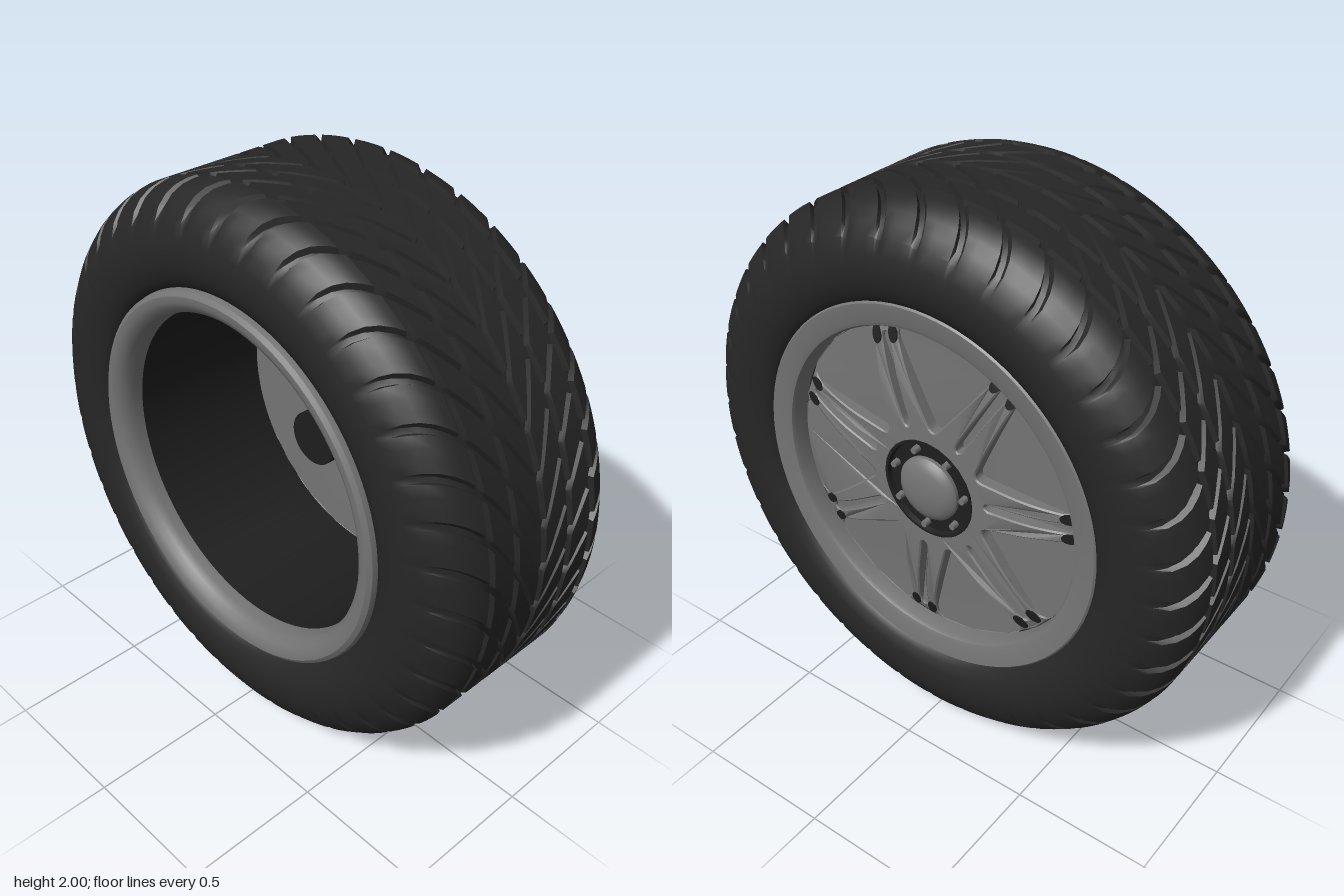
import * as THREE from 'three';
import { toCreasedNormals } from 'three/addons/utils/BufferGeometryUtils.js';

const material = (name, color) => {
  const m = new THREE.MeshStandardMaterial({ color, side: THREE.DoubleSide });
  m.name = name;
  return m;
};

const SPOKES = 7;
const STEP = (Math.PI * 2) / SPOKES;
const FIRST = 0.115;

// Tyre: rings of stations across the tread, columns sheared along the slanted grooves
function tyreGeometry() {
  const GROOVE = 0.02;
  // [x, radius, circumferential groove depth, slanted groove depth]
  const half = [[0, 1, GROOVE, GROOVE], [0.009, 1, GROOVE, GROOVE], [0.013, 1, 0, GROOVE]];
  for (const [x, mid] of [[0.125, [0.04, 0.08]], [0.235, [0.16, 0.2]]]) {
    for (const m of mid) half.push([m, 1, 0, GROOVE]);
    for (const [dx, d] of [[-0.013, 0], [-0.009, GROOVE], [0.009, GROOVE], [0.013, 0]])
      half.push([x + dx, 1, d, GROOVE]);
  }
  half.push([0.27, 0.995, 0, GROOVE], [0.3, 0.983, 0, GROOVE], [0.33, 0.962, 0, GROOVE],
    [0.36, 0.93, 0, 0.016], [0.385, 0.89, 0, 0.006], [0.403, 0.84, 0, 0], [0.41, 0.79, 0, 0],
    [0.405, 0.74, 0, 0], [0.39, 0.7, 0, 0], [0.372, 0.675, 0, 0], [0.34, 0.66, 0, 0]);
  const stations = [...half.slice(1).reverse().map(([x, ...rest]) => [-x, ...rest]), ...half];

  const PITCHES = 40;
  const columns = [[0, 0], [0.05, 1], [0.18, 1], [0.23, 0], [0.48, 0], [0.74, 0]];
  const position = [];
  const index = [];
  const n = stations.length;
  const total = PITCHES * columns.length;
  for (let p = 0; p < PITCHES; p++) {
    for (const [offset, cut] of columns) {
      for (const [x, radius, ringCut, slantCut] of stations) {
        const sweep = 0.5 * Math.max(0, 1 - Math.abs(x) / 0.38) ** 1.6;
        const t = ((p + offset) / PITCHES) * Math.PI * 2 - sweep;
        const r = radius - Math.max(ringCut, cut * slantCut);
        position.push(x, r * Math.sin(t), r * Math.cos(t));
      }
    }
  }
  for (let i = 0; i < total; i++) {
    for (let j = 0; j < n - 1; j++) {
      const a = i * n + j;
      const c = ((i + 1) % total) * n + j;
      index.push(a, a + 1, c, a + 1, c + 1, c);
    }
  }
  const g = new THREE.BufferGeometry();
  g.setAttribute('position', new THREE.Float32BufferAttribute(position, 3));
  g.setIndex(index);
  return toCreasedNormals(g, 0.6);
}

// Turned part about the wheel axis, from [radius, x] points
function turned(points, segments = 96) {
  const g = new THREE.LatheGeometry(points.map(([r, x]) => new THREE.Vector2(r, x)), segments);
  g.rotateZ(-Math.PI / 2);
  return toCreasedNormals(g, 0.6);
}

// Front surface of the spokes: flat at the hub, curving inwards at the rim
const faceX = (r) => 0.345 - 0.045 * Math.max(0, (r - 0.33) / 0.26) ** 2;

// Extrude a shape drawn in the wheel plane and bend it to the spoke surface
function spokePlate(shape, depth, lift, bevel = 0) {
  const g = new THREE.ExtrudeGeometry(shape, {
    depth, curveSegments: 12, bevelEnabled: bevel > 0, bevelThickness: bevel,
    bevelSize: bevel, bevelOffset: -bevel, bevelSegments: 1,
  });
  const pos = g.attributes.position;
  for (let i = 0; i < pos.count; i++) {
    const r = Math.hypot(pos.getX(i), pos.getY(i));
    pos.setZ(i, pos.getZ(i) - depth - bevel + lift + faceX(r));
  }
  g.rotateY(Math.PI / 2);
  return toCreasedNormals(g, 0.5);
}

// Point at distance along and sideways from a spoke axis
const onSpoke = (angle, along, side) => [
  along * Math.cos(angle) - side * Math.sin(angle),
  along * Math.sin(angle) + side * Math.cos(angle),
];

function spokeShape() {
  const shape = new THREE.Shape();
  shape.absarc(0, 0, 0.59, 0, Math.PI * 2);
  const hubHole = new THREE.Path();
  hubHole.absarc(0, 0, 0.18, 0, Math.PI * 2);
  shape.holes.push(hubHole);
  for (let i = 0; i < SPOKES; i++) {
    const a = FIRST + i * STEP;
    const b = a + STEP;
    // Large window between two spoke pairs
    const win = new THREE.Path();
    const corner = 0.165;
    win.moveTo(...onSpoke(a, 0.24, 0.088));
    win.quadraticCurveTo(...onSpoke(a, 0.38, 0.067), ...onSpoke(a, 0.515, 0.053));
    win.quadraticCurveTo(...onSpoke(a, 0.572, 0.05),
      0.58 * Math.cos(a + corner), 0.58 * Math.sin(a + corner));
    win.absarc(0, 0, 0.58, a + corner, b - corner, false);
    win.quadraticCurveTo(...onSpoke(b, 0.572, -0.05), ...onSpoke(b, 0.515, -0.053));
    win.quadraticCurveTo(...onSpoke(b, 0.38, -0.067), ...onSpoke(b, 0.24, -0.088));
    win.quadraticCurveTo(...onSpoke(a + STEP / 2, 0.215, 0), ...onSpoke(a, 0.24, 0.088));
    shape.holes.push(win);
    // Narrow slot within a pair
    const slot = new THREE.Path();
    slot.moveTo(...onSpoke(a, 0.245, -0.013));
    slot.quadraticCurveTo(...onSpoke(a, 0.39, -0.015), ...onSpoke(a, 0.535, -0.017));
    slot.quadraticCurveTo(...onSpoke(a, 0.565, 0), ...onSpoke(a, 0.535, 0.017));
    slot.quadraticCurveTo(...onSpoke(a, 0.39, 0.015), ...onSpoke(a, 0.245, 0.013));
    slot.quadraticCurveTo(...onSpoke(a, 0.218, 0), ...onSpoke(a, 0.245, -0.013));
    shape.holes.push(slot);
  }
  return shape;
}

export function createModel() {
  const rubber = material('black rubber', 0x262626);
  const alloy = material('grey alloy', 0x747474);
  const dark = material('dark metal', 0x1e1e1e);

  const wheel = new THREE.Group();
  wheel.name = 'wheel';
  const add = (name, geometry, mat) => {
    const mesh = new THREE.Mesh(geometry, mat);
    mesh.name = name;
    wheel.add(mesh);
    return mesh;
  };

  add('tyre', tyreGeometry(), rubber);

  // Rim
  add('frontRimLip', turned([[0.588, 0.29], [0.66, 0.3], [0.68, 0.34], [0.68, 0.372], [0.672, 0.38],
    [0.61, 0.374], [0.595, 0.368], [0.588, 0.355], [0.588, 0.29]]), alloy);
  add('backRimLip', turned([[0.582, -0.3], [0.582, -0.335], [0.59, -0.365], [0.607, -0.385],
    [0.63, -0.397], [0.652, -0.398], [0.667, -0.387], [0.672, -0.365], [0.668, -0.33]]), alloy);
  add('barrel', turned([[0.584, -0.31], [0.586, 0.3]]), dark);

  // Spokes with dark pads at the outer ends
  add('spokes', spokePlate(spokeShape(), 0.04, 0, 0.005), alloy);
  for (let i = 0; i < SPOKES; i++) {
    for (const side of [-1, 1]) {
      const pad = new THREE.Shape();
      const [x, y] = onSpoke(FIRST + i * STEP, 0.545, side * 0.036);
      pad.absellipse(x, y, 0.03, 0.018, 0, Math.PI * 2, false, FIRST + i * STEP);
      add('spokeEndPad', spokePlate(pad, 0.006, 0.004), dark);
    }
  }

  // Hub, centre cap and wheel nuts
  add('hub', turned([[0, 0], [0.1, 0], [0.1, 0.25], [0.182, 0.27], [0.182, 0.347],
    [0.172, 0.347], [0.168, 0.33], [0, 0.33]], 64), dark);
  add('centreCap', turned([[0.118, 0.325], [0.118, 0.343], [0.108, 0.356], [0.085, 0.367],
    [0.05, 0.375], [0, 0.378]], 48), alloy);
  for (let i = 0; i < SPOKES; i++) {
    const [u, v] = onSpoke(FIRST + i * STEP, 0.147, 0);
    const nut = add('wheelNut', new THREE.CylinderGeometry(0.012, 0.014, 0.03, 6), alloy);
    nut.rotation.z = -Math.PI / 2;
    nut.position.set(0.34, v, -u);
  }

  wheel.position.y = 1;
  const model = new THREE.Group();
  model.name = 'carWheel';
  model.add(wheel);
  return model;
}
